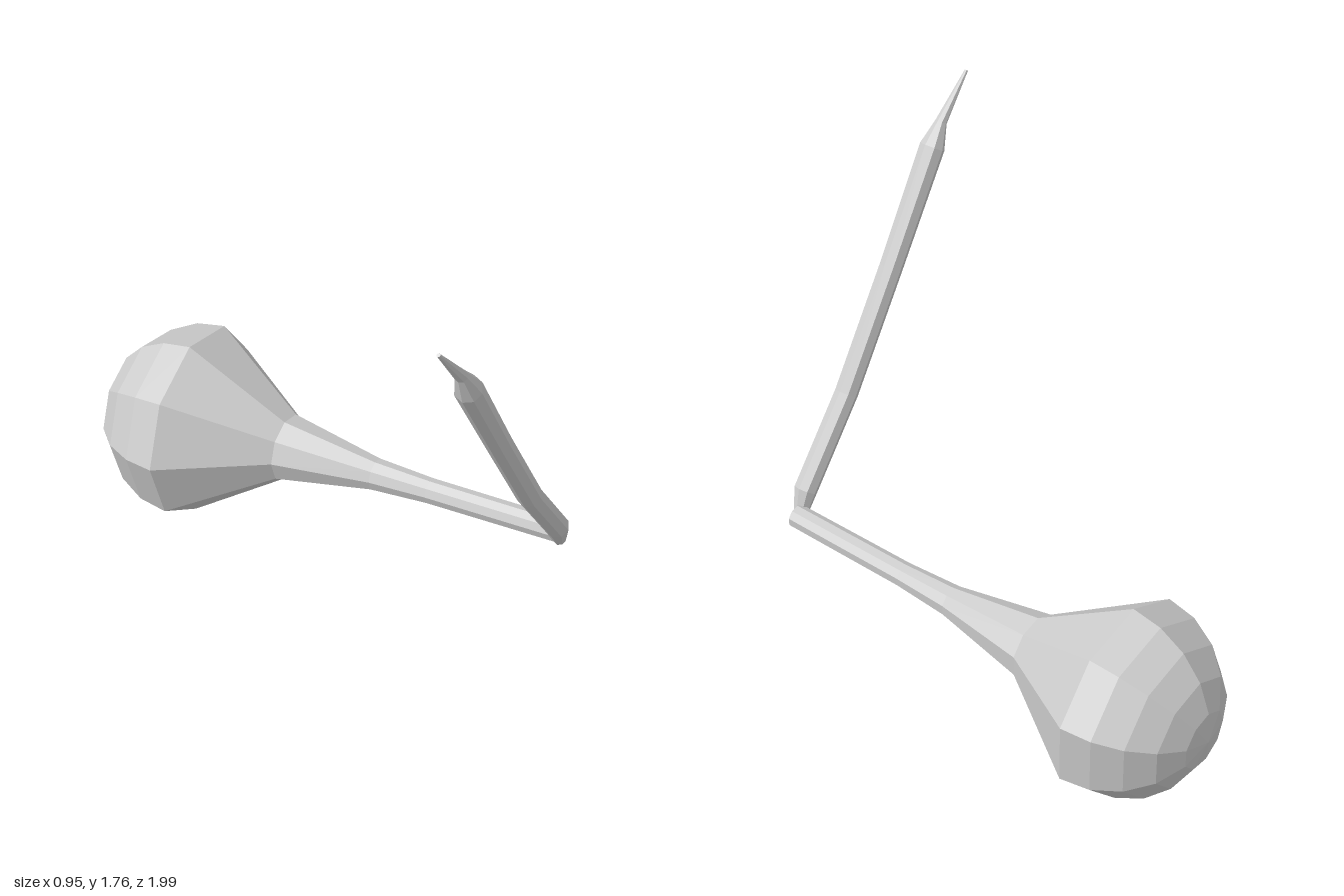
import * as THREE from 'three';

const material = new THREE.MeshStandardMaterial({ color: 0xcccccc, flatShading: true });

// Rotation whose y runs along the axis and whose x stays level
function axisBasis(axis) {
  const y = axis.clone().normalize();
  const x = new THREE.Vector3(0, 1, 0).cross(y).normalize();
  return new THREE.Matrix4().makeBasis(x, y, x.clone().cross(y));
}

// Faceted round body; profile is a list of [radius, distance along axis]
function turned(name, profile, sides, phase) {
  const points = profile.map(([r, d]) => new THREE.Vector2(r, d));
  const mesh = new THREE.Mesh(new THREE.LatheGeometry(points, sides, phase), material);
  mesh.name = name;
  return mesh;
}

function createBulb() {
  const start = new THREE.Vector3(0.432, 0.408, 0.66);
  const rim = new THREE.Vector3(-0.066, 0.351, -0.65);
  const axis = rim.clone().sub(start);
  const length = axis.length();
  const radius = 0.35;
  // Handle, neck and flare
  const profile = [[0, 0], [0.043, 0], [0.045, 0.49], [0.057, 0.7], [0.12, 1.05], [radius, length]];
  // Domed end
  for (let i = 1; i <= 5; i++) {
    const a = (i / 5) * Math.PI / 2;
    profile.push([i === 5 ? 0 : radius * Math.cos(a), length + radius * Math.sin(a)]);
  }
  // The level x of the basis points to -x here, so the first corner is turned to suit
  const mesh = turned('bulb', profile, 9, THREE.MathUtils.degToRad(73.7));
  const y = axis.normalize();
  const x = y.clone().cross(new THREE.Vector3(0, 1, 0)).normalize();
  mesh.geometry.applyMatrix4(new THREE.Matrix4().makeBasis(x, y, x.clone().cross(y)).setPosition(start));
  mesh.geometry.computeVertexNormals();
  return mesh;
}

function createRod() {
  // Ring centre and radius from the joint up to the point
  const stations = [
    [0.418, 0.385, 0.668, 0],
    [0.418, 0.385, 0.668, 0.022],
    [0.375, 0.48, 0.692, 0.042],
    [0.16, 0.775, 0.764, 0.042],
    [-0.08, 1.165, 0.853, 0.042],
    [-0.305, 1.535, 0.942, 0.045],
    [-0.35, 1.612, 0.957, 0.021],
    [-0.472, 1.763, 0.989, 0.006],
    [-0.472, 1.763, 0.989, 0],
  ];
  const mesh = turned('pointedRod', stations.map((s, i) => [s[3], i]), 8, 0);
  const basis = axisBasis(new THREE.Vector3(-0.68, 1.055, 0.25));
  const pos = mesh.geometry.attributes.position;
  const v = new THREE.Vector3();
  // Move each ring onto its station
  for (let i = 0; i < pos.count; i++) {
    v.fromBufferAttribute(pos, i);
    const [cx, cy, cz] = stations[Math.round(v.y)];
    v.setY(0).applyMatrix4(basis);
    pos.setXYZ(i, v.x + cx, v.y + cy, v.z + cz);
  }
  mesh.geometry.computeVertexNormals();
  return mesh;
}

export function createModel() {
  const model = new THREE.Group();
  model.name = 'bulbAndRod';
  model.add(createBulb(), createRod());
  return model;
}
